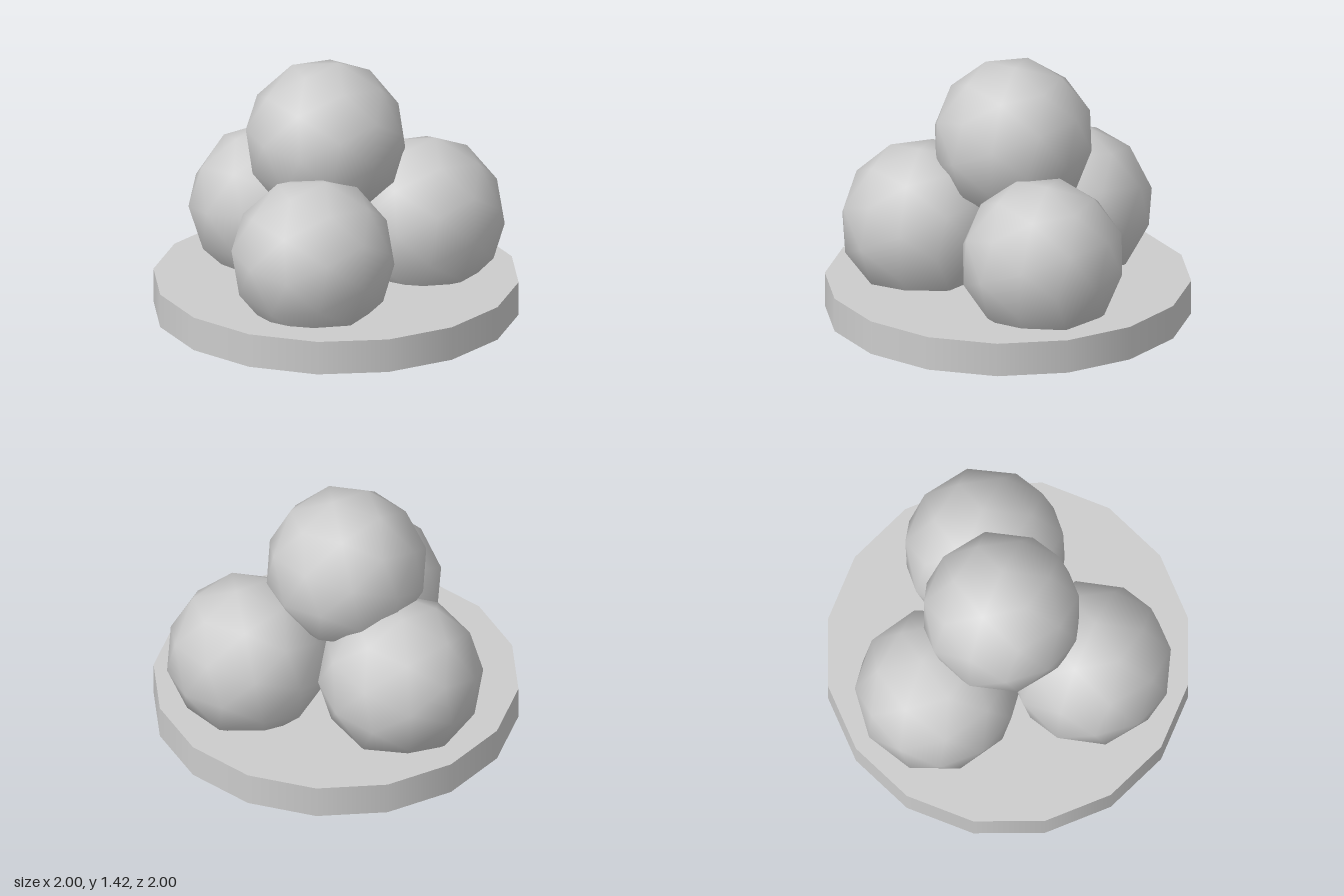
import * as THREE from 'three';

export function createModel() {
  const group = new THREE.Group();
  const stone = new THREE.MeshStandardMaterial({ color: 0xcccccc });
  stone.name = 'light grey';

  // Low round plinth with 16 sides
  const height = 0.19;
  const base = new THREE.Mesh(new THREE.CylinderGeometry(1, 1, height, 16), stone);
  base.name = 'base';
  base.position.y = height / 2;
  group.add(base);

  // Coarse, smooth-shaded balls: name, radius, centre, tilt about x and z
  const balls = [
    ['leftBall', 0.453, [0.475, 0.475, 0.17], 0.06, -0.144],
    ['rightBall', 0.453, [-0.39, 0.475, 0.28], 0.126, -0.09],
    ['backBall', 0.453, [-0.05, 0.475, -0.5], -0.15, -0.1],
    ['topBall', 0.445, [-0.025, 0.98, -0.06], 0.1, -0.137],
  ];
  for (const [name, radius, centre, tiltX, tiltZ] of balls) {
    const ball = new THREE.Mesh(new THREE.IcosahedronGeometry(radius, 1), stone);
    ball.name = name;
    ball.position.set(...centre);
    ball.rotation.set(tiltX, 0, tiltZ);
    group.add(ball);
  }
  return group;
}
